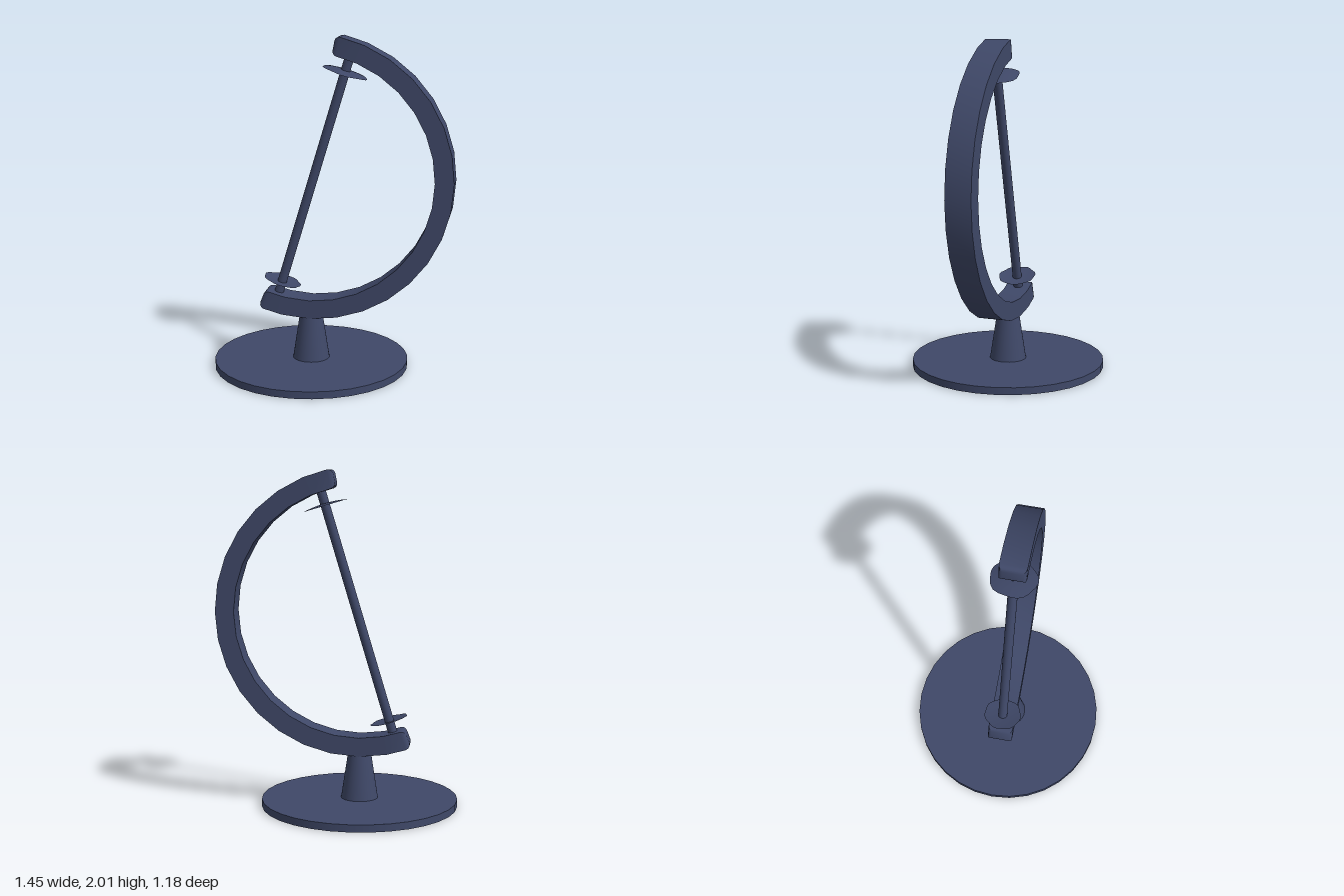
import * as THREE from 'three';
import { toCreasedNormals } from 'three/addons/utils/BufferGeometryUtils.js';

const CX = -0.14, CY = 1.17; // centre of the arm's circle

// Rectangular bar swept along a circular arc, with softened ends
function arcBar(inner, outer, halfDepth, startDeg, endDeg, stepDeg) {
  const sections = [];
  const soft = [[0, 0.028], [0.35, 0.014], [1, 0.005], [2.1, 0]]; // degrees from end, inset
  for (const [d, inset] of soft) sections.push([startDeg + d, inset]);
  for (let a = Math.ceil((startDeg + 3) / stepDeg) * stepDeg; a < endDeg - 3; a += stepDeg) sections.push([a, 0]);
  for (const [d, inset] of [...soft].reverse()) sections.push([endDeg - d, inset]);

  const pos = [], idx = [];
  for (const [deg, inset] of sections) {
    const a = THREE.MathUtils.degToRad(deg);
    const ri = inner + inset, ro = outer - inset, z = halfDepth - inset * 0.8;
    for (const [r, w] of [[ri, -z], [ro, -z], [ro, z], [ri, z]]) pos.push(r * Math.cos(a), r * Math.sin(a), w);
  }
  const last = (sections.length - 1) * 4;
  for (let i = 0; i < last; i += 4) {
    for (let k = 0; k < 4; k++) {
      const a = i + k, b = i + (k + 1) % 4;
      idx.push(a, b + 4, b, a, a + 4, b + 4);
    }
  }
  idx.push(0, 1, 2, 0, 2, 3, last, last + 2, last + 1, last, last + 3, last + 2);
  const geo = new THREE.BufferGeometry();
  geo.setAttribute('position', new THREE.Float32BufferAttribute(pos, 3));
  geo.setIndex(idx);
  return toCreasedNormals(geo, 0.6);
}

// Thin spherical cap with a slightly uneven rim
function sphereCap(sphereRadius, rimRadius, lobes) {
  const geo = new THREE.SphereGeometry(sphereRadius, 24, 4, 0, Math.PI * 2, 0, Math.asin(rimRadius / sphereRadius));
  const p = geo.attributes.position;
  for (let i = 0; i < p.count; i++) {
    const x = p.getX(i), z = p.getZ(i), r = Math.hypot(x, z);
    if (r < rimRadius * 0.9) continue;
    const s = 0.985 + 0.035 * Math.sin(lobes * Math.atan2(z, x) + 0.6);
    const y = Math.sqrt(sphereRadius ** 2 - (r * s) ** 2);
    p.setXYZ(i, x * s, y, z * s);
  }
  geo.computeVertexNormals();
  return geo;
}

export function createModel() {
  const model = new THREE.Group();
  model.name = 'globeStand';
  const color = 0x3f4868;
  const solid = new THREE.MeshStandardMaterial({ color });
  const thin = new THREE.MeshStandardMaterial({ color, side: THREE.DoubleSide });
  const add = (parent, name, geo, x, y, mat = solid) => {
    const mesh = new THREE.Mesh(geo, mat);
    mesh.name = name;
    mesh.position.set(x, y, 0);
    parent.add(mesh);
    return mesh;
  };

  // Round foot and tapered pedestal
  add(model, 'base', new THREE.CylinderGeometry(0.59, 0.59, 0.044, 32), CX, 0.022);
  add(model, 'pedestal', new THREE.CylinderGeometry(0.063, 0.112, 0.32, 32), CX, 0.2);

  // Half-circle arm
  add(model, 'arm', arcBar(0.747, 0.86, 0.077, -111.4, 79.4, 11.25), CX, CY);

  // Tilted axle with the two polar caps
  const axis = new THREE.Group();
  axis.name = 'tiltedAxis';
  axis.position.set(-0.123, CY, 0);
  axis.rotation.z = THREE.MathUtils.degToRad(-16.7);
  model.add(axis);
  add(axis, 'axle', new THREE.CylinderGeometry(0.028, 0.028, 1.54, 20), 0, 0);
  add(axis, 'upperCap', sphereCap(0.67, 0.135, 5), 0, 0, thin);
  add(axis, 'lowerCap', sphereCap(0.685, 0.115, 7), 0, 0, thin).rotation.x = Math.PI;

  return model;
}
